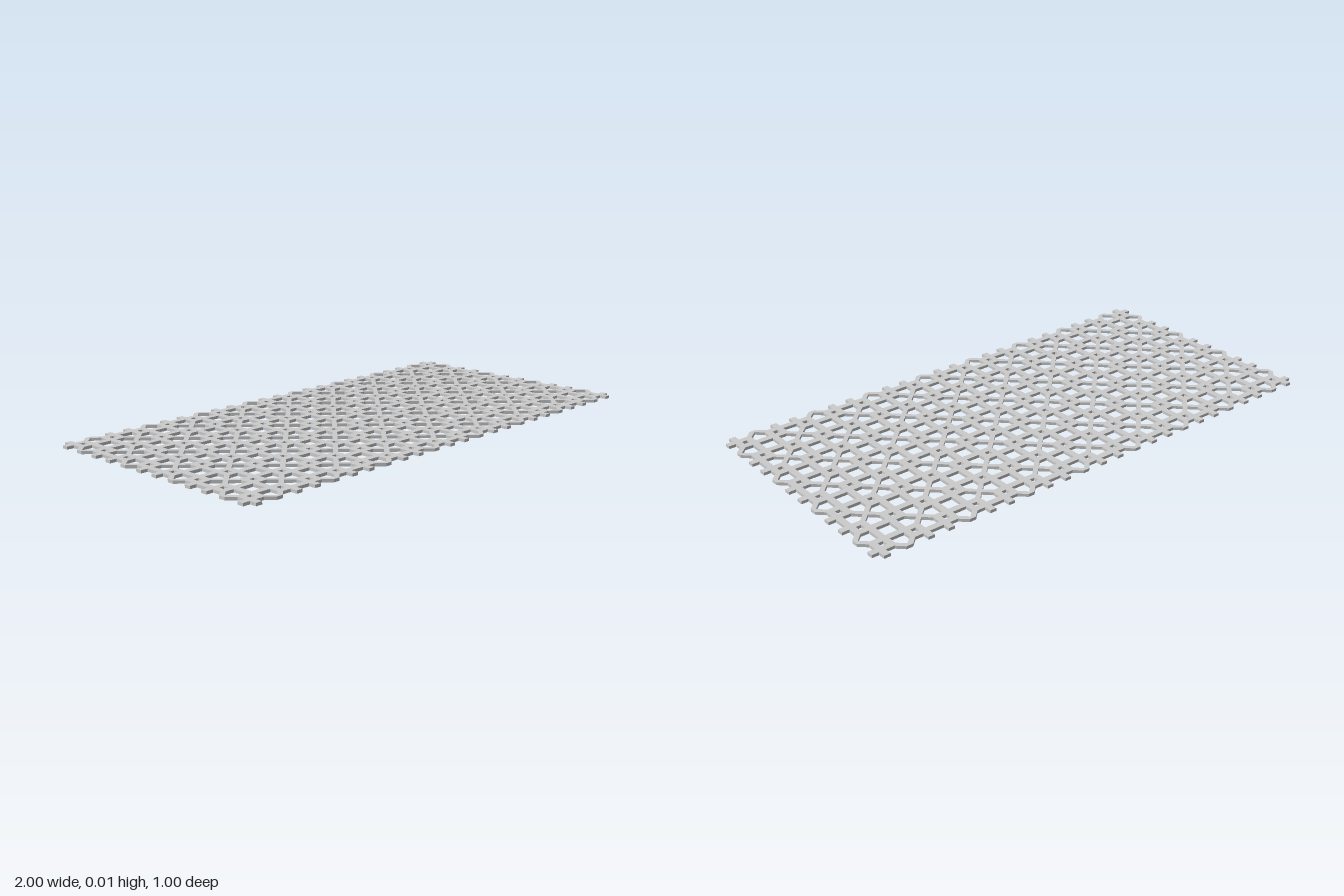
import * as THREE from 'three';
import { mergeGeometries } from 'three/addons/utils/BufferGeometryUtils.js';

const TILE = 0.125;      // square module of the pattern
const COLS = 16, ROWS = 8;
const THICK = 0.011;
const SHOULDER = 0.04;   // where a diagonal arm splits into two straight straps
const HALF = 0.0125;     // half width of a straight strap
const ARM = 0.0127;      // edge offset of a diagonal arm

// Y-shaped strap: a diagonal arm from the star centre that forks into two straight straps
function forkGeometry() {
  const p = SHOULDER - HALF, q = SHOULDER + HALF;
  const outline = [
    [0, 0], [ARM, 0], [p + ARM, p], [TILE, p], [TILE, q], [q, q],
    [q, TILE], [p, TILE], [p, p + ARM], [0, ARM],
  ].map(([x, y]) => new THREE.Vector2(x, y));
  const geo = new THREE.ExtrudeGeometry(new THREE.Shape(outline), { depth: THICK, bevelEnabled: false });
  return geo.rotateX(-Math.PI / 2);   // lies flat, pointing to +x, -z
}

export function createModel() {
  const group = new THREE.Group();
  group.name = 'latticePanel';
  const material = new THREE.MeshStandardMaterial({ color: 0xcccccc });
  const fork = forkGeometry();

  // quarter turns that aim the fork from a tile corner into the tile
  const corners = [
    { dx: 0, dz: 1, turn: 0 },
    { dx: 1, dz: 1, turn: 1 },
    { dx: 1, dz: 0, turn: 2 },
    { dx: 0, dz: 0, turn: 3 },
  ];

  // each row of tiles: two interlocking forks per tile, from the corners holding a star centre
  for (let j = 0; j < ROWS; j++) {
    const parts = [];
    for (let i = 0; i < COLS; i++) {
      for (const { dx, dz, turn } of corners) {
        if ((i + dx + j + dz) % 2 === 0) continue;
        parts.push(fork.clone()
          .rotateY(turn * Math.PI / 2)
          .translate((i + dx - COLS / 2) * TILE, 0, (j + dz - ROWS / 2) * TILE));
      }
    }
    const row = new THREE.Mesh(mergeGeometries(parts), material);
    row.name = `latticeRow${j + 1}`;
    group.add(row);
  }
  return group;
}
